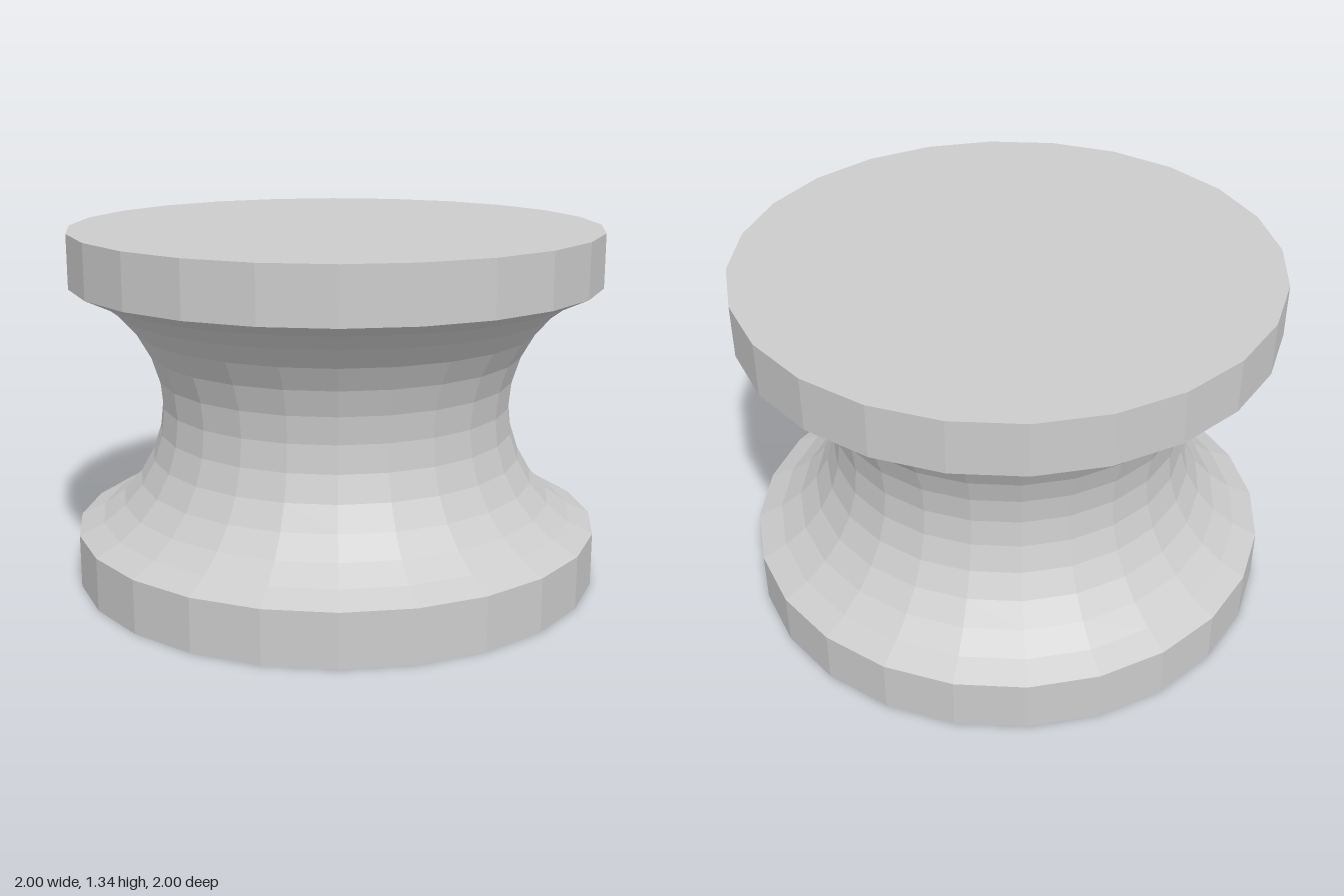
import * as THREE from 'three';

const SIDES = 24;
const HEIGHT = 1.337;
const FLANGE = 0.2;
const WAIST = 0.667;

export function createModel() {
  const group = new THREE.Group();
  group.name = 'spool';
  const material = new THREE.MeshStandardMaterial({ color: 0xcccccc, flatShading: true });

  const addLathe = (name, points) => {
    const mesh = new THREE.Mesh(new THREE.LatheGeometry(points, SIDES), material);
    mesh.name = name;
    group.add(mesh);
  };
  const p = (x, y) => new THREE.Vector2(x, y);

  // Flanges: a closed outer disc and a rim, open towards the waist
  addLathe('bottomFlange', [p(0, 0), p(1, 0), p(1, FLANGE)]);
  addLathe('topFlange', [p(1, HEIGHT - FLANGE), p(1, HEIGHT), p(0, HEIGHT)]);

  // Waist: a concave circular arc between the two rims
  const half = HEIGHT / 2 - FLANGE;
  const depth = 1 - WAIST;
  const radius = (half * half + depth * depth) / (2 * depth);
  const sweep = Math.asin(half / radius);
  const steps = 12;
  const arc = [];
  for (let i = 0; i <= steps; i++) {
    const a = sweep * (2 * i / steps - 1);
    arc.push(p(WAIST + radius * (1 - Math.cos(a)), HEIGHT / 2 + radius * Math.sin(a)));
  }
  addLathe('waist', arc);

  return group;
}
